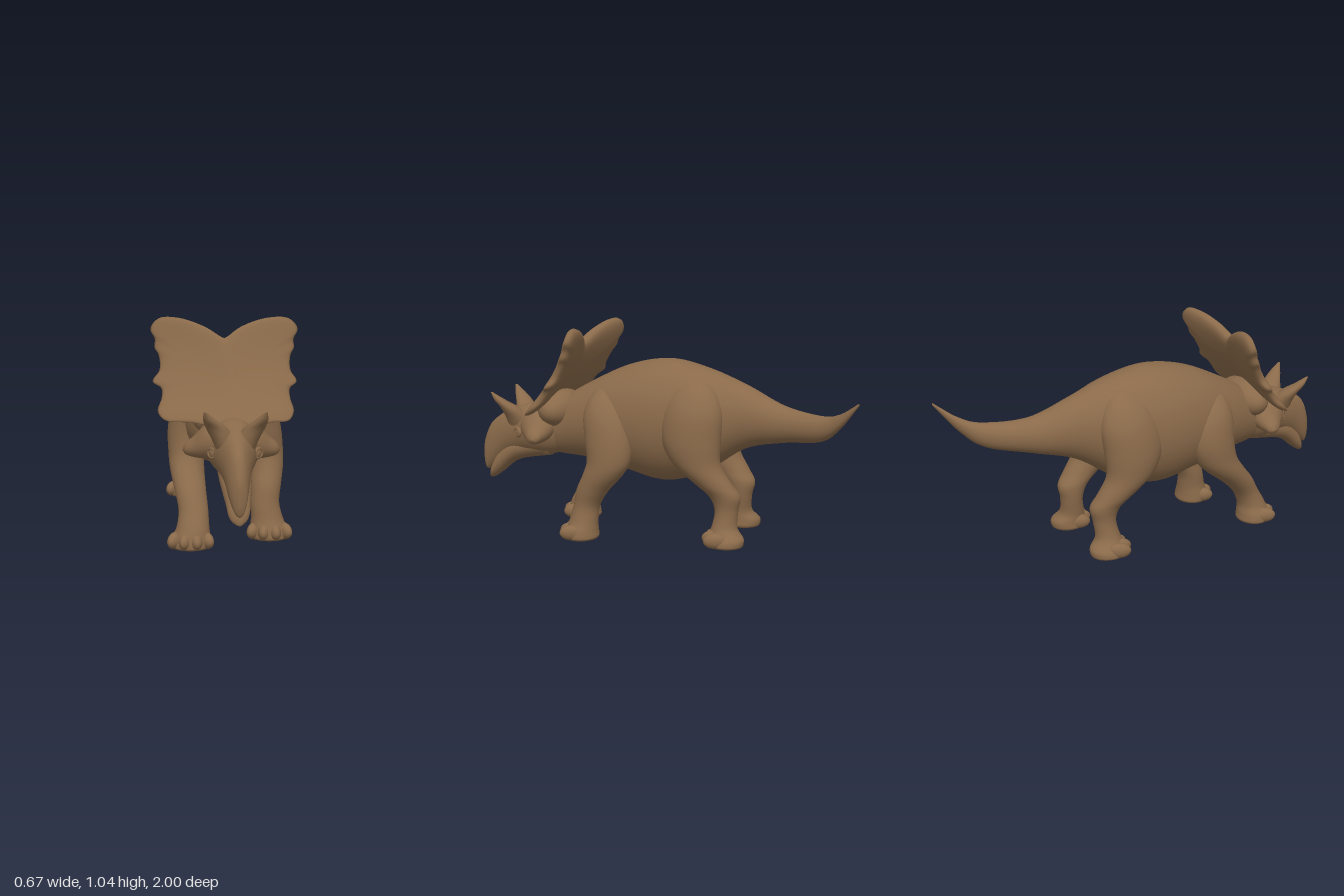
import * as THREE from 'three';

const hide = new THREE.MeshStandardMaterial({ color: 0x8a6a4a });
hide.name = 'brown hide';

// Skin a stack of equal-length rings, cap both ends and turn the faces outward
function skin(rings) {
  const n = rings[0].length, pos = [], idx = [];
  rings.forEach(r => r.forEach(p => pos.push(p.x, p.y, p.z)));
  for (let i = 0; i < rings.length - 1; i++) {
    for (let j = 0; j < n; j++) {
      const a = i * n + j, b = i * n + (j + 1) % n;
      idx.push(a, b, a + n, b, b + n, a + n);
    }
  }
  [0, rings.length - 1].forEach((r, end) => {
    const c = new THREE.Vector3();
    rings[r].forEach(p => c.addScaledVector(p, 1 / n));
    const k = pos.length / 3;
    pos.push(c.x, c.y, c.z);
    for (let j = 0; j < n; j++) {
      const a = r * n + j, b = r * n + (j + 1) % n;
      if (end) idx.push(a, b, k); else idx.push(b, a, k);
    }
  });
  // signed volume decides the winding
  const P = i => new THREE.Vector3(pos[i * 3], pos[i * 3 + 1], pos[i * 3 + 2]);
  let volume = 0;
  for (let i = 0; i < idx.length; i += 3) {
    volume += P(idx[i]).dot(P(idx[i + 1]).cross(P(idx[i + 2])));
  }
  if (volume < 0) idx.reverse();
  const g = new THREE.BufferGeometry();
  g.setAttribute('position', new THREE.Float32BufferAttribute(pos, 3));
  g.setIndex(idx);
  g.computeVertexNormals();
  return g;
}

// Smooth loft through sections [x, y, z, radiusA, radiusB]; rings face the given axis
function loft(sections, axis, steps = 6, sides = 32) {
  const curve = f => new THREE.CatmullRomCurve3(sections.map(f), false, 'catmullrom', 0.5);
  const path = curve(s => new THREE.Vector3(s[0], s[1], s[2]));
  const size = curve(s => new THREE.Vector3(s[3], s[4], 0));
  const [u, v] = { x: ['z', 'y'], y: ['x', 'z'], z: ['x', 'y'] }[axis];
  const rings = [], count = (sections.length - 1) * steps;
  for (let i = 0; i <= count; i++) {
    const c = path.getPoint(i / count), r = size.getPoint(i / count), ring = [];
    for (let j = 0; j < sides; j++) {
      const a = j / sides * Math.PI * 2, p = c.clone();
      p[u] += Math.max(r.x, 0.002) * Math.cos(a);
      p[v] += Math.max(r.y, 0.002) * Math.sin(a);
      ring.push(p);
    }
    rings.push(ring);
  }
  return skin(rings);
}

// Scalloped neck frill, curving back from the skull and folded along its middle ridge
function frillGeometry() {
  const half = [[0.012, 0.957], [0.08, 1.0], [0.2, 1.037], [0.295, 1.032], [0.333, 0.985],
    [0.312, 0.94], [0.315, 0.905], [0.297, 0.875], [0.293, 0.81], [0.322, 0.762], [0.285, 0.735],
    [0.285, 0.695], [0.3, 0.645], [0.275, 0.612], [0.17, 0.605], [0.08, 0.59]];
  const points = [[0, 0.952], ...half, [0, 0.58], ...half.map(([x, y]) => [-x, y]).reverse()];
  const edge = new THREE.CatmullRomCurve3(
    points.map(([x, y]) => new THREE.Vector3(x, y, 0)), true).getSpacedPoints(160).slice(0, 160);
  const at = (s, face) => edge.map(e => {
    const x = e.x * s, y = 0.78 + (e.y - 0.78) * s, d = y - 0.62;
    const thick = (face > 0 ? 0.02 : 0.045) * Math.sqrt(Math.max(0, 1 - s ** 8));
    const z = 0.69 - 0.95 * d + 0.93 * d * d - 0.22 * Math.hypot(x, 0.02) + face * thick;
    return new THREE.Vector3(x + 0.17 * (0.955 - y) * (1 - Math.abs(x) / 0.34), y, z);
  });
  const rings = [0.01, 0.2, 0.4, 0.6, 0.75, 0.87, 0.94, 0.98, 1];
  return skin([...rings.map(s => at(s, 1)), ...rings.slice(0, -1).reverse().map(s => at(s, -1))]);
}

export function createModel() {
  const model = new THREE.Group();
  model.name = 'hornedDinosaur';
  const add = (name, geometry, parent = model) => {
    const m = new THREE.Mesh(geometry, hide);
    m.name = name;
    parent.add(m);
    return m;
  };

  // Tail, trunk and neck in one sweep
  add('bodyAndTail', loft([
    [0.255, 0.775, -1, 0.004, 0.006], [0.19, 0.677, -0.9, 0.032, 0.036],
    [0.13, 0.627, -0.8, 0.053, 0.06], [0.045, 0.617, -0.6, 0.078, 0.088],
    [0.005, 0.63, -0.4, 0.12, 0.155], [0, 0.6, -0.2, 0.195, 0.255],
    [-0.01, 0.586, 0, 0.228, 0.302], [-0.01, 0.585, 0.2, 0.215, 0.265],
    [0, 0.56, 0.4, 0.17, 0.197], [0.02, 0.51, 0.6, 0.1, 0.13],
    [0.03, 0.5, 0.68, 0.07, 0.09]], 'z', 8, 40));

  // Skull tapering to a hooked beak
  add('head', loft([
    [0.02, 0.51, 0.52, 0.09, 0.11], [0.03, 0.5, 0.62, 0.115, 0.13],
    [0.04, 0.5, 0.72, 0.108, 0.13], [0.045, 0.485, 0.8, 0.085, 0.12],
    [0.05, 0.455, 0.88, 0.063, 0.115], [0.055, 0.4, 0.95, 0.046, 0.115],
    [0.06, 0.355, 0.985, 0.03, 0.09], [0.06, 0.35, 1, 0.008, 0.045]], 'z'));
  add('lowerJaw', loft([
    [0.035, 0.43, 0.62, 0.075, 0.065], [0.045, 0.39, 0.8, 0.07, 0.062],
    [0.055, 0.315, 0.9, 0.054, 0.06], [0.058, 0.265, 0.945, 0.042, 0.04],
    [0.06, 0.238, 0.968, 0.012, 0.014]], 'z'));
  add('frill', frillGeometry());
  // Flesh joining the frill to the cheeks and neck
  const nape = add('nape', new THREE.SphereGeometry(1, 32, 20));
  nape.scale.set(0.17, 0.095, 0.1);
  nape.position.set(0.025, 0.61, 0.57);

  for (const s of [1, -1]) {
    const side = s > 0 ? 'left' : 'right';
    const mirror = (list, mid) => list.map(([x, ...rest]) => [mid + s * x, ...rest]);
    // Brow horn, cheek spike and eye with its lid ring
    add(side + 'Horn', loft(mirror([
      [0.03, 0.49, 0.765, 0.045, 0.07], [0.053, 0.56, 0.785, 0.05, 0.06],
      [0.08, 0.61, 0.81, 0.046, 0.045], [0.11, 0.652, 0.85, 0.027, 0.028],
      [0.128, 0.692, 0.885, 0.005, 0.005]], 0.045), 'y', 6, 20));
    add(side + 'Cheek', loft(mirror([
      [0.03, 0.53, 0.68, 0.12, 0.085], [0.11, 0.52, 0.655, 0.09, 0.075],
      [0.165, 0.495, 0.64, 0.055, 0.046], [0.2, 0.484, 0.63, 0.032, 0.026],
      [0.215, 0.48, 0.625, 0.004, 0.004]], 0.03), 'x', 6, 24));
    const eye = new THREE.Group();
    eye.name = side + 'Eye';
    eye.position.set(0.045 + s * 0.098, 0.49, 0.76);
    eye.rotation.y = s * 0.95;
    model.add(eye);
    add('eyelid', new THREE.TorusGeometry(0.027, 0.009, 10, 24), eye).scale.y = 0.75;
    add('eyeball', new THREE.SphereGeometry(0.021, 16, 12), eye).scale.z = 0.5;

    // Legs: the right pair strides ahead of the left
    const stride = (list, dx, dz, from) => mirror(list, 0).map(([x, y, z, a, b]) => {
      const k = Math.min(1, Math.max(0, (from - y) / (from - 0.1)));
      return s > 0 ? [x, y, z, a, b] : [x + dx * k, y, z + dz * k, a, b];
    });
    const front = stride([
      [0.09, 0.76, 0.28, 0.02, 0.03], [0.13, 0.69, 0.275, 0.065, 0.085],
      [0.16, 0.61, 0.262, 0.083, 0.115], [0.182, 0.5, 0.24, 0.088, 0.12],
      [0.195, 0.4, 0.235, 0.085, 0.11], [0.2, 0.33, 0.265, 0.08, 0.1],
      [0.195, 0.25, 0.32, 0.073, 0.082], [0.19, 0.17, 0.355, 0.068, 0.066],
      [0.2, 0.1, 0.367, 0.074, 0.07], [0.208, 0.05, 0.375, 0.088, 0.08],
      [0.21, 0.018, 0.375, 0.092, 0.084], [0.21, 0.006, 0.375, 0.086, 0.078]], 0.058, 0.155, 0.55);
    const rear = stride([
      [0.08, 0.82, -0.18, 0.02, 0.03], [0.115, 0.76, -0.18, 0.075, 0.105],
      [0.145, 0.66, -0.18, 0.102, 0.148], [0.162, 0.53, -0.18, 0.104, 0.145],
      [0.167, 0.42, -0.21, 0.09, 0.118], [0.16, 0.33, -0.29, 0.073, 0.092],
      [0.148, 0.27, -0.345, 0.063, 0.077], [0.145, 0.2, -0.355, 0.056, 0.057],
      [0.158, 0.12, -0.35, 0.06, 0.062], [0.175, 0.075, -0.36, 0.077, 0.088],
      [0.178, 0.048, -0.36, 0.082, 0.09], [0.178, 0.036, -0.36, 0.076, 0.085]], -0.02, 0.035, 0.7);
    for (const [name, leg] of [['FrontLeg', front], ['RearLeg', rear]]) {
      const group = new THREE.Group();
      group.name = side + name;
      model.add(group);
      add('limb', loft(leg, 'y'), group);
      // Four blunt toes fanned over the front of the foot
      const [x, y, z, a, b] = leg[leg.length - 1];
      for (const t of [-1, -0.35, 0.35, 1]) {
        const toe = add('toe', new THREE.SphereGeometry(1, 16, 12), group);
        toe.scale.set(0.029, 0.038, 0.06);
        toe.position.set(x + t * a * 0.82, y + 0.036, z + b * (0.6 - 0.3 * t * t));
        toe.rotation.y = t * 0.4;
      }
    }
  }
  return model;
}
